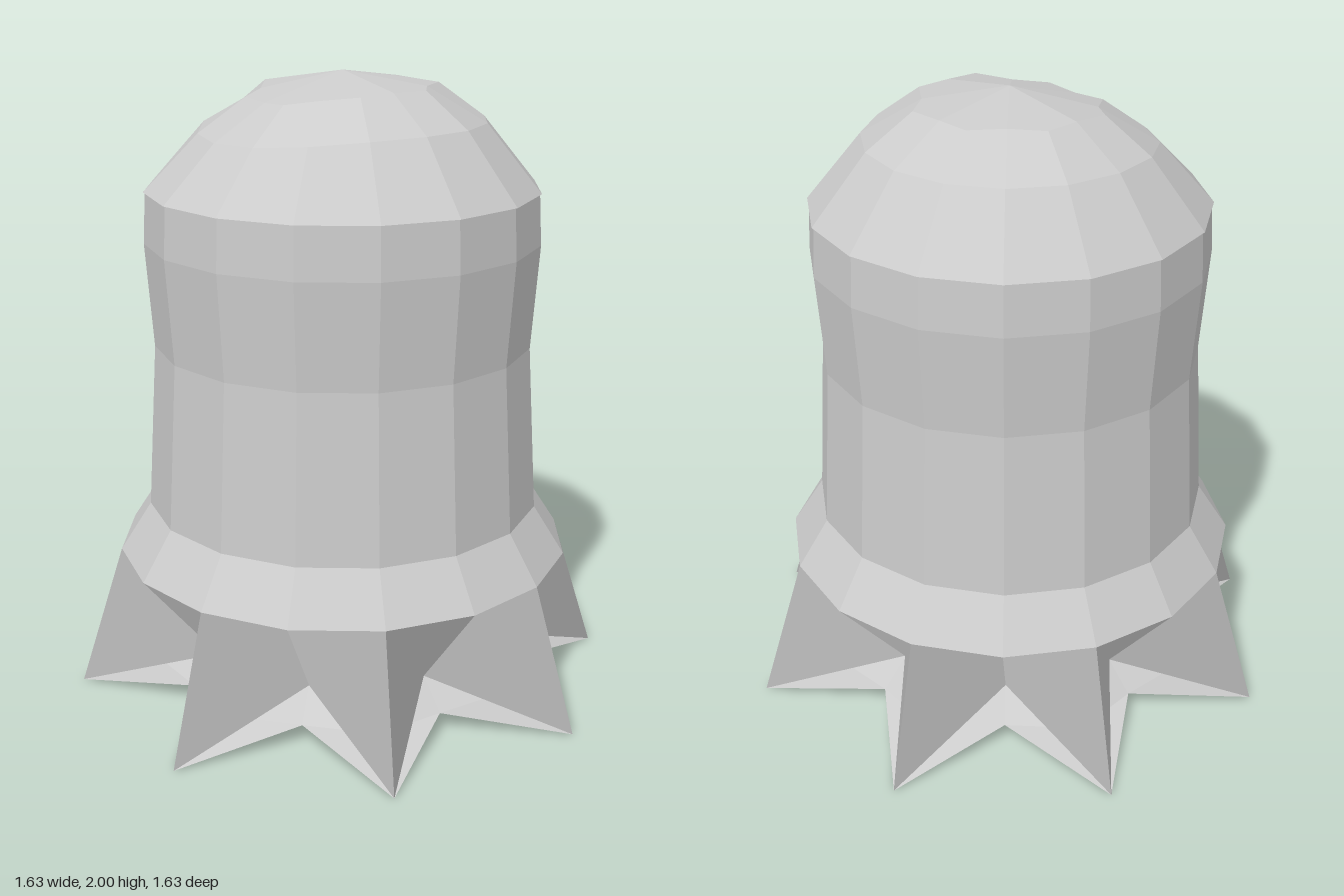
import * as THREE from 'three';

const SIDES = 16;
const facetedMaterial = new THREE.MeshStandardMaterial({ color: 0xcccccc, flatShading: true });
const sheetMaterial = new THREE.MeshStandardMaterial({ color: 0xcccccc, side: THREE.DoubleSide });

function addMesh(group, name, geometry, material) {
  const mesh = new THREE.Mesh(geometry, material);
  mesh.name = name;
  group.add(mesh);
}

function lathe(profile) {
  return new THREE.LatheGeometry(profile.map(([r, y]) => new THREE.Vector2(r, y)), SIDES);
}

// Point on step i of the sixteen-sided ring
function ringPoint(i, r, y) {
  const a = (i / SIDES) * Math.PI * 2;
  return new THREE.Vector3(Math.sin(a) * r, y, Math.cos(a) * r);
}

// Four-cornered facets, each split along its first diagonal and shaded as one face
function fromQuads(quads) {
  const positions = [], normals = [];
  for (const [a, b, c, d] of quads) {
    const n = c.clone().sub(a).cross(d.clone().sub(b)).normalize();
    for (const p of [a, b, c, a, c, d]) {
      positions.push(p.x, p.y, p.z);
      normals.push(n.x, n.y, n.z);
    }
  }
  const g = new THREE.BufferGeometry();
  g.setAttribute('position', new THREE.Float32BufferAttribute(positions, 3));
  g.setAttribute('normal', new THREE.Float32BufferAttribute(normals, 3));
  return g;
}

// Faceted dome whose rings sag a little on the -x side
function domeGeometry() {
  const sag = (i) => 0.04 * Math.max(0, -Math.sin((i / SIDES) * Math.PI * 2)) ** 2;
  const base = (i) => ringPoint(i, 0.622, 1.64);
  const middle = (i) => ringPoint(i, 0.45, 1.85 - sag(i));
  const upper = (i) => ringPoint(i, i % 2 ? 0.302 : i % 4 ? 0.262 : 0.277, 1.957 - sag(i));
  const top = new THREE.Vector3(0, 2, 0);
  const quads = [];
  for (let i = 0; i < SIDES; i++) {
    const j = i + 1;
    quads.push([base(i), base(j), middle(j), middle(i)]);
    quads.push([middle(i), middle(j), upper(j), upper(i)]);
    if (i % 2 === 0) quads.push([top, upper(i), upper(j), upper(i + 2)]);
  }
  return fromQuads(quads);
}

export function createModel() {
  const group = new THREE.Group();

  addMesh(group, 'dome', domeGeometry(), sheetMaterial);
  addMesh(group, 'body', lathe([[0.635, 0.62], [0.602, 1.15], [0.625, 1.48], [0.616, 1.642]]), facetedMaterial);
  addMesh(group, 'flare', lathe([[0.735, 0.465], [0.635, 0.62]]), facetedMaterial);

  // Odd steps run down to pointed tips, even steps to raised valleys set inward
  const rim = (i) => ringPoint(i, 0.735, 0.465);
  const tip = (i) => ringPoint(i, 0.881, 0);
  const valley = (i) => ringPoint(i, 0.48, 0.15);
  const floorEdge = (i) => (i % 2 ? ringPoint(i, 0.65, 0.08) : ringPoint(i, 0.57, 0.06));
  const centre = new THREE.Vector3(0, 0.06, 0);
  const points = [], ledge = [], floor = [];
  for (let i = 0; i < SIDES; i++) {
    const j = i + 1;
    // Sloping ledge beneath the arches
    ledge.push([floorEdge(i), floorEdge(j), valley(j), valley(i)]);
    if (i % 2 === 0) continue;

    // The two folded sides of each point
    points.push([valley(j), rim(j), rim(i), tip(i)]);
    points.push([valley(i - 1), tip(i), rim(i), rim(i - 1)]);

    // Underside: a wedge of the base and the flaps reaching out to the tip
    floor.push([centre, floorEdge(j), floorEdge(i), floorEdge(i - 1)]);
    floor.push([floorEdge(i), floorEdge(j), tip(i), floorEdge(i - 1)]);
  }
  addMesh(group, 'skirtPoints', fromQuads(points), sheetMaterial);
  addMesh(group, 'underLedge', fromQuads(ledge), sheetMaterial);
  addMesh(group, 'underside', fromQuads(floor), sheetMaterial);

  return group;
}
